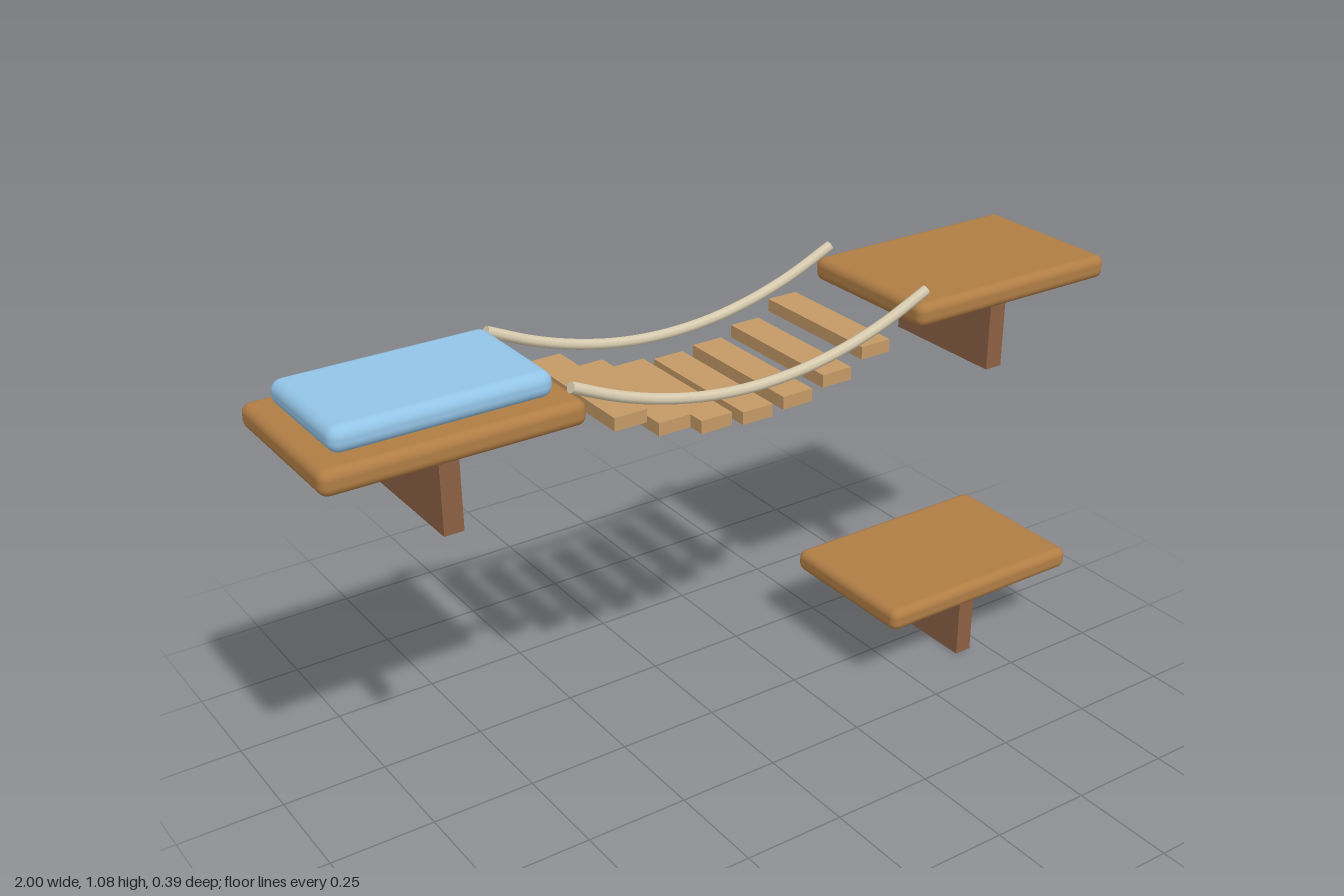
import * as THREE from 'three';
import { RoundedBoxGeometry } from 'three/addons/geometries/RoundedBoxGeometry.js';

const paint = (color, side = THREE.FrontSide) => new THREE.MeshStandardMaterial({ color, side });

export function createModel() {
  const model = new THREE.Group();
  const wood = paint(0xb07d45);
  const darkWood = paint(0x8b6043);
  const plankWood = paint(0xc49a66);
  const rope = paint(0xd8ccb0, THREE.DoubleSide);
  const fabric = paint(0x93c4e6);

  const add = (parent, name, geometry, material, x = 0, y = 0, z = 0) => {
    const mesh = new THREE.Mesh(geometry, material);
    mesh.name = name;
    mesh.position.set(x, y, z);
    parent.add(mesh);
    return mesh;
  };

  // Shelf: rounded board on an upright bracket set towards the wall (-z)
  const boardGeometry = new RoundedBoxGeometry(0.572, 0.056, 0.388, 3, 0.021);
  const bracketGeometry = new THREE.BoxGeometry(0.045, 0.18, 0.322);
  const addShelf = (name, x, y) => {
    const shelf = new THREE.Group();
    shelf.name = name;
    shelf.position.set(x, y, 0);
    add(shelf, 'board', boardGeometry, wood, 0, 0.208, 0);
    add(shelf, 'bracket', bracketGeometry, darkWood, 0, 0.09, -0.0225);
    model.add(shelf);
    return shelf;
  };
  const bedShelf = addShelf('rightUpperShelf', -0.714, 0.783);
  addShelf('leftUpperShelf', 0.714, 0.783);
  addShelf('lowerStepShelf', 0.686, 0);

  // Cushion on the right upper shelf
  add(bedShelf, 'cushion', new RoundedBoxGeometry(0.48, 0.057, 0.296, 4, 0.025), fabric, 0, 0.2645, 0);

  // Hanging bridge: level planks stepping along a sagging curve
  const bridge = new THREE.Group();
  bridge.name = 'bridge';
  model.add(bridge);
  const plankGeometry = new THREE.BoxGeometry(0.078, 0.03, 0.346);
  for (let i = -3; i <= 3; i++) {
    const x = i * 0.1065;
    add(bridge, 'plank', plankGeometry, plankWood, x, 0.865 + 0.71 * x * x, 0);
  }

  // Two sagging hand ropes with capped ends
  const points = [];
  for (let i = -4; i <= 4; i++) {
    const t = i / 4;
    points.push(new THREE.Vector3(0.457 * t, 0.933 + 0.113 * t * t, 0));
  }
  const curve = new THREE.CatmullRomCurve3(points);
  const ropeGeometry = new THREE.TubeGeometry(curve, 32, 0.0125, 8, false);
  const capGeometry = new THREE.CircleGeometry(0.0125, 8);
  for (const side of [-1, 1]) {
    const handRope = add(bridge, side > 0 ? 'frontRope' : 'backRope', ropeGeometry, rope, 0, 0, side * 0.173);
    for (const end of [0, 1]) {
      const p = curve.getPointAt(end);
      const outward = curve.getTangentAt(end).multiplyScalar(end ? 1 : -1);
      const cap = add(handRope, 'ropeEnd', capGeometry, rope, p.x, p.y, p.z);
      cap.quaternion.setFromUnitVectors(new THREE.Vector3(0, 0, 1), outward);
    }
  }

  return model;
}
